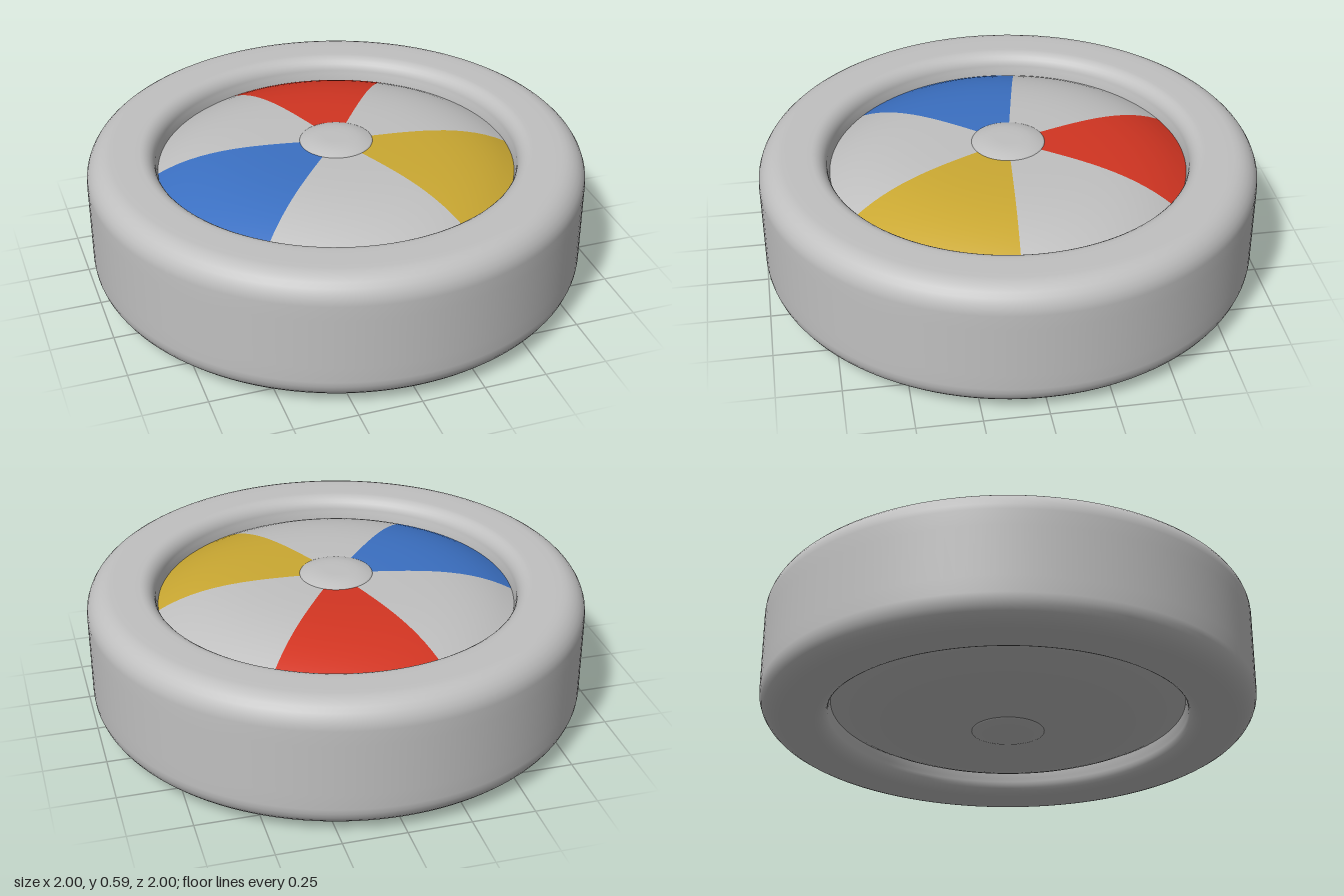
import * as THREE from 'three';

const HEIGHT = 0.59;
const V = (x, y) => new THREE.Vector2(x, y);
const mirror = (pts) => pts.map((p) => V(p.x, HEIGHT - p.y)).reverse();

function material(name, color) {
  const m = new THREE.MeshStandardMaterial({ color });
  m.name = name;
  return m;
}

// Quarter-round corner, angles in degrees
function corner(cx, cy, rx, ry, from, to, n = 7) {
  return Array.from({ length: n + 1 }, (_, i) => {
    const a = THREE.MathUtils.degToRad(from + ((to - from) * i) / n);
    return V(cx + rx * Math.cos(a), cy + ry * Math.sin(a));
  });
}

export function createModel() {
  const group = new THREE.Group();
  const grey = material('lightGrey', 0xc0c0c0);
  const red = material('red', 0xd23522);
  const blue = material('blue', 0x3b70c2);
  const yellow = material('yellow', 0xcaa832);

  function lathe(name, pts, mat, segments, start = 0, length = Math.PI * 2) {
    const mesh = new THREE.Mesh(new THREE.LatheGeometry(pts, segments, start, length), mat);
    mesh.name = name;
    group.add(mesh);
  }

  // Outer ring: upper half from the outside over the rim and down the inner wall
  const upper = [
    V(1, 0.40),
    ...corner(0.9, 0.463, 0.1, 0.1, 0, 90),
    V(0.86, 0.563),
    V(0.81, 0.563),
    ...corner(0.785, 0.498, 0.06, 0.065, 90, 180),
    V(0.712, 0.45),
    V(0.712, 0.36),
  ];
  const ring = [...upper, ...mirror(upper)];
  ring.push(ring[0].clone());
  lathe('outerRing', ring, grey, 128);

  // Domed panels, six on each side
  const dome = Array.from({ length: 15 }, (_, i) => {
    const r = 0.718 - (0.598 * i) / 14;
    return V(r, 0.572 - 0.1 * Math.pow(r / 0.715, 4));
  });
  const edges = [55, 109.5, 169, 230, 295, 355, 415];
  const colours = [red, grey, blue, grey, yellow, grey];
  colours.forEach((mat, i) => {
    const start = THREE.MathUtils.degToRad(edges[i] + 90);
    const length = THREE.MathUtils.degToRad(edges[i + 1] - edges[i]);
    lathe('topPanel' + (i + 1), dome, mat, 20, start, length);
    lathe('bottomPanel' + (i + 1), mirror(dome), grey, 20, start, length);
  });

  // Round caps at the centre
  const cap = [V(0.152, 0.55), V(0.152, 0.569), V(0.14, 0.575), V(0.115, 0.583), V(0.085, 0.589), V(0.05, 0.59), V(0, 0.59)];
  lathe('topCap', cap, grey, 48);
  lathe('bottomCap', mirror(cap), grey, 48);

  return group;
}
